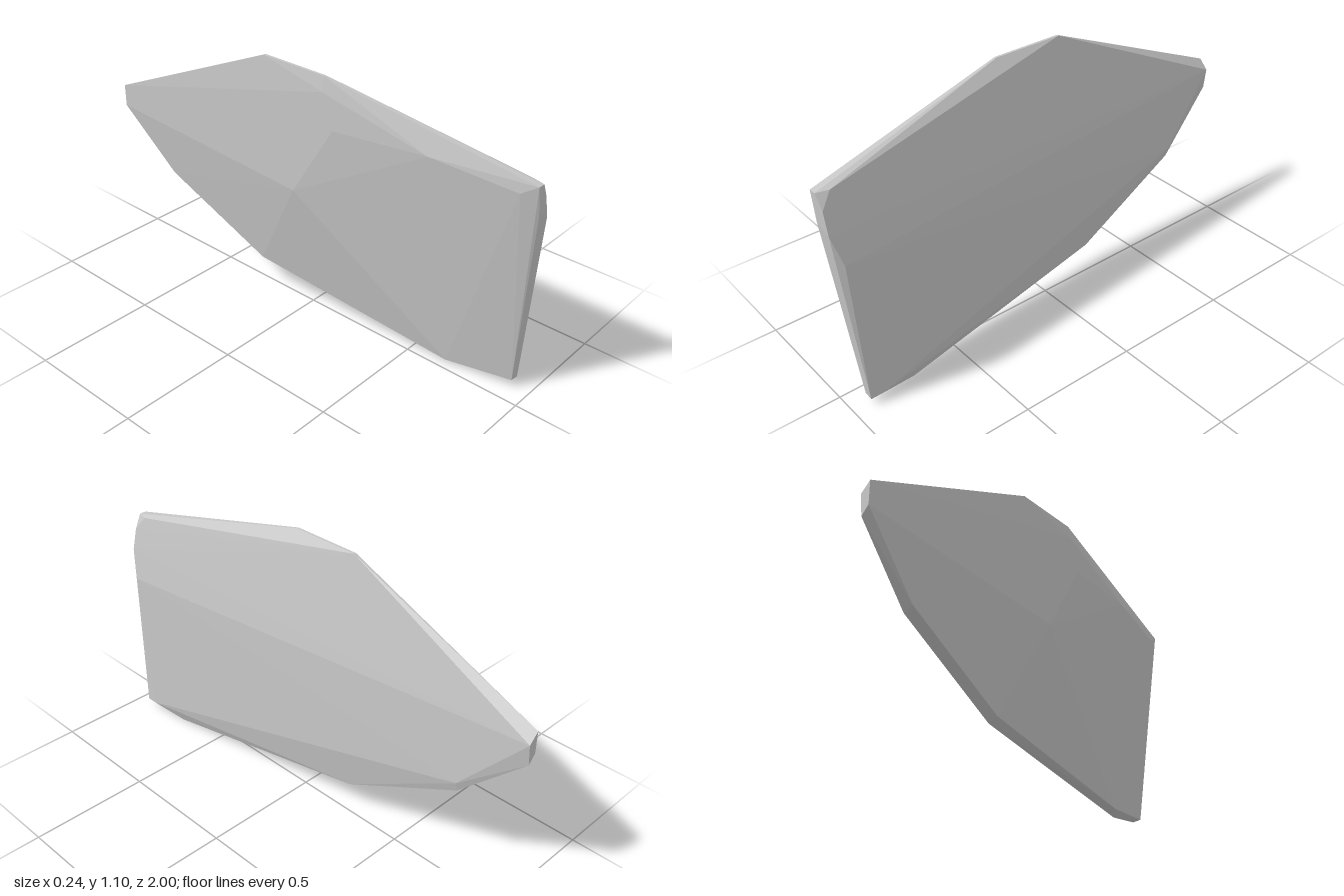
import * as THREE from 'three';
import { ConvexGeometry } from 'three/addons/geometries/ConvexGeometry.js';

export function createModel() {
  const group = new THREE.Group();
  group.name = 'stoneShard';
  const stone = new THREE.MeshStandardMaterial({ color: 0xc6c6c6 });
  stone.name = 'pale grey stone';

  // Corners of the chipped slab, as [x, y, z]
  const corners = [
    // top ridge
    [-0.11, 1.1, 0.15], [-0.1, 1.1, 0.15], [-0.11, 1.1, -0.15], [-0.1, 1.1, -0.15],
    [-0.12, 1.04, 0.15],
    // narrow front edge
    [-0.01, 0.92, 1], [0.02, 0.92, 1], [0.01, 0.8, 1], [0.052, 0.86, 0.995], [0.074, 0.77, 0.995],
    [0.075, 0.66, 0.985], [0.075, 0.035, 0.93], [0.113, 0.03, 0.93],
    // left face, front bevel
    [0.033, 0.92, 0.95], [0.096, 0.646, 0.96],
    // lower left crease
    [0.117, 0.035, 0.88], [-0.04, 0.4, -0.74],
    // bottom rim
    [0.03, 0.015, 0.66], [0.08, 0, 0.72], [-0.015, 0.12, -0.24], [-0.055, 0.14, -0.24],
    [-0.05, 0.36, -0.74], [-0.09, 0.38, -0.74],
    // blunt back tip
    [-0.12, 0.635, -1], [-0.09, 0.6, -1], [-0.12, 0.73, -1], [-0.08, 0.69, -1],
    // right face
    [-0.12, 0.58, 0], [-0.12, 0.9, 0.2], [-0.08, 0.92, 0.6], [-0.025, 0.88, 0.94],
  ];
  const shard = new THREE.Mesh(
    new ConvexGeometry(corners.map((c) => new THREE.Vector3(...c))), stone);
  shard.name = 'shard';
  group.add(shard);
  return group;
}
